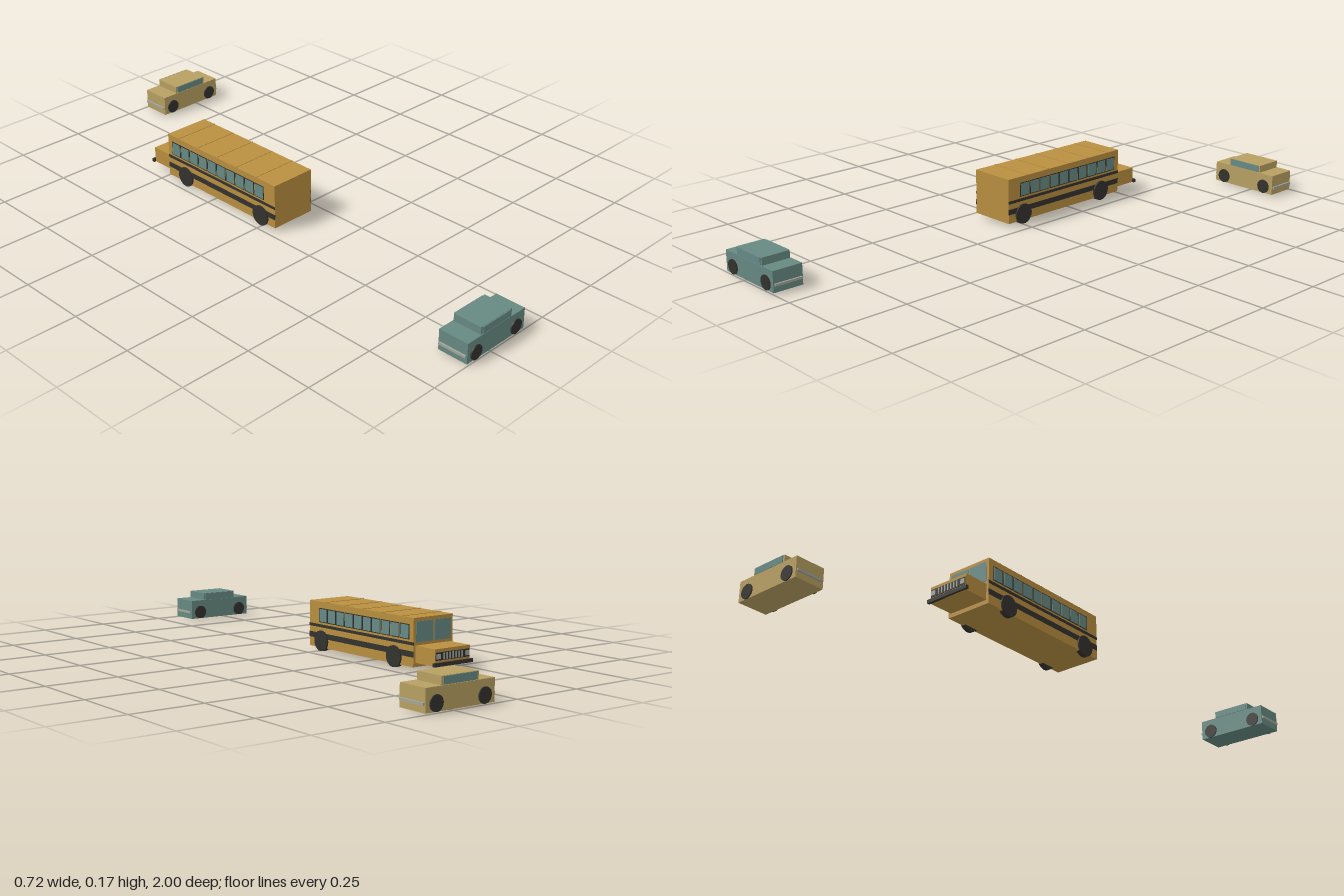
import * as THREE from 'three';

const mat = (name, color) => {
  const m = new THREE.MeshStandardMaterial({ color });
  m.name = name;
  return m;
};

export function createModel() {
  const yellow = mat('bus yellow', 0xb98f40);
  const teal = mat('car teal', 0x668a82);
  const tan = mat('car tan', 0xb8a062);
  const glass = mat('window glass', 0x668a86);
  const black = mat('black', 0x33322e);
  const chrome = mat('chrome', 0xa3a69c);

  // Box given by its min and max corners
  const box = (parent, name, m, [x0, y0, z0], [x1, y1, z1]) => {
    const mesh = new THREE.Mesh(new THREE.BoxGeometry(x1 - x0, y1 - y0, z1 - z0), m);
    mesh.name = name;
    mesh.position.set((x0 + x1) / 2, (y0 + y1) / 2, (z0 + z1) / 2);
    parent.add(mesh);
  };
  // Wheel with its axle along x or z
  const wheel = (parent, r, width, axis, x, y, z) => {
    const geo = new THREE.CylinderGeometry(r, r, width, 24);
    if (axis === 'x') geo.rotateZ(Math.PI / 2);
    else geo.rotateX(Math.PI / 2);
    const mesh = new THREE.Mesh(geo, black);
    mesh.name = 'wheel';
    mesh.position.set(x, y, z);
    parent.add(mesh);
  };

  // Car lying along x
  const makeCar = (name, paint, x, z) => {
    const car = new THREE.Group();
    car.name = name;
    car.position.set(x, 0, z);
    box(car, 'body', paint, [-0.132, 0.003, -0.054], [0.132, 0.075, 0.054]);
    box(car, 'cabin', paint, [-0.071, 0.075, -0.051], [0.071, 0.101, 0.051]);
    for (const s of [-1, 1]) {
      const w = s * 0.0525;
      box(car, 'sideWindow', glass, [-0.064, 0.076, w - 0.0015], [0.064, 0.1, w + 0.0015]);
      const b = s * 0.1345;
      box(car, 'bumper', chrome, [b - 0.0035, 0.025, -0.05], [b + 0.0035, 0.033, 0.05]);
      for (const e of [-1, 1]) wheel(car, 0.025, 0.012, 'z', e * 0.0925, 0.028, s * 0.052);
    }
    return car;
  };

  // Bus lying along z, hood toward -z
  const bus = new THREE.Group();
  bus.name = 'bus';
  bus.position.x = -0.1375;
  box(bus, 'body', yellow, [-0.0845, 0.012, -0.486], [0.0845, 0.172, 0.06]);
  box(bus, 'hood', yellow, [-0.075, 0.026, -0.578], [0.075, 0.082, -0.486]);
  for (let i = 0; i < 5; i++) {
    const z = -0.03 - i * 0.1;
    box(bus, 'roofRib', yellow, [-0.0845, 0.171, z - 0.002], [0.0845, 0.1735, z + 0.002]);
  }
  for (const s of [-1, 1]) {
    const x = s * 0.0845;
    // Side stripes, windows and wheels
    box(bus, 'upperStripe', black, [x - 0.0015, 0.083, -0.486], [x + 0.0015, 0.093, 0.06]);
    box(bus, 'lowerStripe', black, [x - 0.0015, 0.044, -0.486], [x + 0.0015, 0.063, 0.06]);
    for (let i = 0; i < 10; i++) {
      const z = -0.0155 - i * 0.0475;
      box(bus, 'windowFrame', black, [x - 0.001, 0.1, z - 0.0225], [x + 0.001, 0.15, z + 0.0225]);
      box(bus, 'sideWindow', glass, [x - 0.002, 0.103, z - 0.0195], [x + 0.002, 0.147, z + 0.0195]);
    }
    for (const z of [-0.008, -0.393]) wheel(bus, 0.036, 0.018, 'x', s * 0.0815, 0.036, z);
    // Two-pane windshield
    const c = s * 0.039;
    box(bus, 'windshield', glass, [c - 0.036, 0.092, -0.488], [c + 0.036, 0.16, -0.484]);
    box(bus, 'headlight', chrome, [s * 0.062 - 0.008, 0.05, -0.582], [s * 0.062 + 0.008, 0.066, -0.578]);
  }
  // Nose
  box(bus, 'grille', black, [-0.072, 0.045, -0.58], [0.072, 0.071, -0.577]);
  for (let i = -3; i <= 3; i++) {
    box(bus, 'grilleBar', chrome, [i * 0.013 - 0.002, 0.047, -0.582], [i * 0.013 + 0.002, 0.069, -0.579]);
  }
  box(bus, 'bumper', black, [-0.083, 0.026, -0.586], [0.083, 0.038, -0.576]);

  const model = new THREE.Group();
  model.name = 'busAndCars';
  model.add(bus, makeCar('tealCar', teal, -0.2215, 0.942), makeCar('tanCar', tan, 0.2205, -0.942));
  return model;
}
